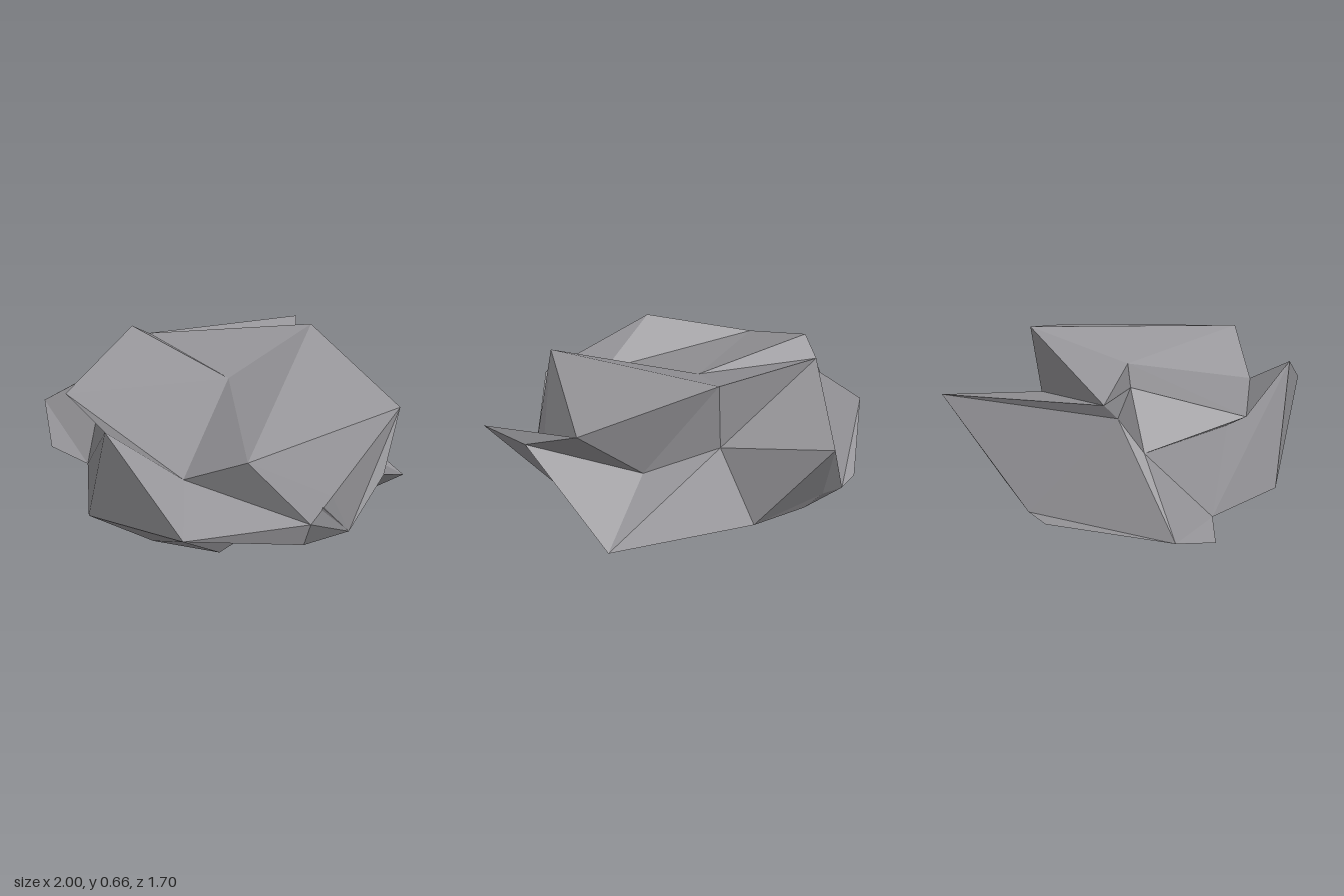
import * as THREE from 'three';

// Key corners of the boulder
const P = {
  // upper corners
  top: [0.045, 0.52, -0.005], back: [0.16, 0.66, -0.48], ridge: [-0.54, 0.53, -0.08], peak: [-0.54, 0.615, 0.035],
  brow: [-0.49, 0.47, 0.535], dip: [0.3, 0.365, 0.59], edge: [0.6, 0.545, 0.52], shoulder: [0.77, 0.485, -0.36],
  // outer spikes
  nose: [0, 0.56, 0.755], chin: [0.535, 0.295, 0.85], horn: [1, 0.29, 0.34], fin: [0.91, 0.34, -0.04],
  tail: [-0.21, 0.445, -0.85], beak: [-1, 0.11, 0.24], knob: [-0.67, 0.365, 0.1],
  // hollows
  fold: [0.77, 0.255, 0.14], nick: [0.765, 0.18, 0.285], notch: [0.72, 0.04, 0.27], pit: [0.45, 0.22, -0.3],
  cleft: [0.13, 0.34, -0.43], under: [-0.33, 0.365, 0.46], cheek: [-0.54, 0.47, -0.02],
  pocket: [0.62, 0.19, 0.12], lip: [0.5, 0.06, 0.41], rump: [-0.33, 0.07, -0.555],
  // foot outline
  f1: [-0.2, 0, 0.7], f2: [0.16, 0, 0.645], f3: [0.44, 0, 0.515], f4: [0.42, 0, 0.295], f5: [0.36, 0, -0.06],
  f6: [0.64, 0, -0.25], f7: [0.71, 0, -0.54], f8: [0.03, 0, -0.575], f9: [-0.25, 0, -0.525],
  f10: [-0.51, 0, -0.425], f11: [-0.63, 0, -0.335], f12: [-0.77, 0, 0.41], f13: [-0.52, 0, 0.4],
};

// Each part is a fan of facets: a central corner and the corners around it
const FANS = [
  ['crown', 'top', 'edge back ridge peak brow dip edge'],
  ['leftShoulder', 'shoulder', 'edge fold horn fin pit back edge'],
  ['frontLeftFacet', 'edge', 'dip nick fold'],
  ['leftSpike', 'horn', 'fold nick notch pocket f6 fin'],
  ['leftPocket', 'pocket', 'notch f4 f5 f6'],
  ['backLeftFoot', 'f7', 'f8 cleft pit fin f6'],
  ['backHollow', 'cleft', 'ridge back pit'],
  ['backSpike', 'tail', 'ridge cleft f8 rump f10 cheek ridge'],
  ['backFoot', 'rump', 'f8 f9 f10'],
  ['rightSpike', 'beak', 'f11 f12 f13 knob cheek f10 f11'],
  ['rightHollow', 'knob', 'f13 under brow peak cheek'],
  ['rightRidge', 'ridge', 'cheek peak'],
  ['frontFace', 'nose', 'dip brow under f13 f1 chin dip'],
  ['frontOverhang', 'chin', 'f1 f2 f3 lip notch nick dip'],
  ['lowerLip', 'lip', 'f3 f4 notch'],
];

function fanGeometry(center, ring) {
  const names = ring.split(' ');
  const pos = [];
  for (let i = 0; i + 1 < names.length; i++) pos.push(...P[center], ...P[names[i]], ...P[names[i + 1]]);
  const g = new THREE.BufferGeometry();
  g.setAttribute('position', new THREE.Float32BufferAttribute(pos, 3));
  g.computeVertexNormals();
  return g;
}

export function createModel() {
  const group = new THREE.Group();
  group.name = 'boulder';
  const stone = new THREE.MeshStandardMaterial({ color: 0x97969a });
  stone.name = 'stone grey';
  stone.flatShading = true;
  stone.side = THREE.DoubleSide;

  const add = (name, geometry) => {
    const mesh = new THREE.Mesh(geometry, stone);
    mesh.name = name;
    group.add(mesh);
  };
  for (const [name, center, ring] of FANS) add(name, fanGeometry(center, ring));

  // Flat underside
  const outline = [];
  for (let i = 1; i <= 13; i++) outline.push(new THREE.Vector2(P['f' + i][0], P['f' + i][2]));
  add('underside', new THREE.ShapeGeometry(new THREE.Shape(outline)).rotateX(Math.PI / 2));
  return group;
}
